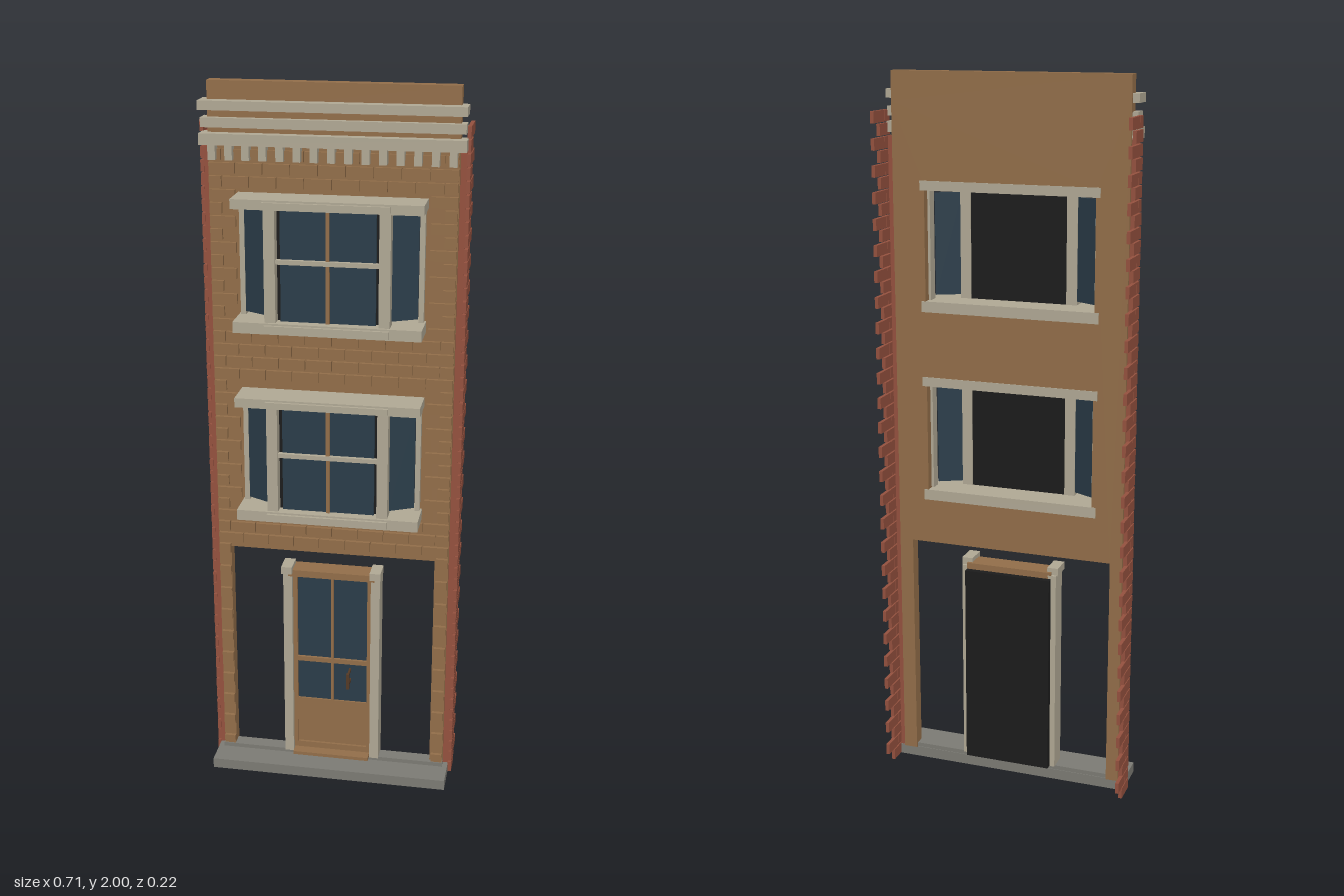
import * as THREE from 'three';
import { mergeGeometries } from 'three/addons/utils/BufferGeometryUtils.js';

const mat = (name, color) => {
  const m = new THREE.MeshStandardMaterial({ color });
  m.name = name;
  return m;
};

export function createModel() {
  const tan = mat('tan brick', 0x946f4a);
  const red = mat('red brick', 0x96523f);
  const stone = mat('pale stone', 0xb2aa96);
  const grey = mat('step grey', 0x7d7c75);
  const glass = mat('window glass', 0x2b3d4a);
  const black = mat('blackout', 0x1c1c1c);
  const dark = mat('handle bronze', 0x553a26);

  // Box geometry given by its extents
  const boxGeo = (x0, x1, y0, y1, z0, z1) =>
    new THREE.BoxGeometry(x1 - x0, y1 - y0, z1 - z0)
      .translate((x0 + x1) / 2, (y0 + y1) / 2, (z0 + z1) / 2);
  const add = (parent, name, geo, material) => {
    const m = new THREE.Mesh(geo, material);
    m.name = name;
    parent.add(m);
    return m;
  };
  const box = (parent, name, material, ...e) => add(parent, name, boxGeo(...e), material);
  const group = (parent, name) => {
    const g = new THREE.Group();
    g.name = name;
    parent.add(g);
    return g;
  };

  const model = new THREE.Group();
  model.name = 'townhouseFront';
  const W = 0.33, BACK = -0.028, FACE = 0.007;
  const windowBases = [0.817, 1.357];

  // Wall sheet with a shopfront gap and two window openings
  const outline = new THREE.Shape([
    [-W, 0.03], [-0.295, 0.03], [-0.295, 0.69], [0.291, 0.69], [0.291, 0.03],
    [W, 0.03], [W, 1.92], [-W, 1.92],
  ].map(([x, y]) => new THREE.Vector2(x, y)));
  for (const y of windowBases) {
    outline.holes.push(new THREE.Path([
      [-0.24, y + 0.01], [-0.24, y + 0.35], [0.24, y + 0.35], [0.24, y + 0.01],
    ].map(([a, b]) => new THREE.Vector2(a, b))));
  }
  add(model, 'wall', new THREE.ExtrudeGeometry(outline, { depth: FACE - BACK, bevelEnabled: false })
    .translate(0, 0, BACK), tan);
  box(model, 'parapet', tan, -W, W, 1.92, 2, BACK, FACE);

  // Raised bricks in running bond, left out around the openings
  const rowH = 1.9 / 54, pitch = 2 * W / 9, bricks = [];
  for (let r = 1; r * rowH < 1.82; r++) {
    const y0 = r * rowH + 0.003, y1 = y0 + rowH - 0.007;
    for (let i = 0; i < 10; i++) {
      const start = -W + (i - (r % 2 ? 0.5 : 0)) * pitch;
      const x0 = Math.max(-W, start) + 0.002, x1 = Math.min(W, start + pitch) - 0.002;
      if (x1 - x0 < 0.01) continue;
      const inShop = y0 < 0.69 && x1 > -0.295 && x0 < 0.291;
      const inWindow = windowBases.some(y => y1 > y && y0 < y + 0.357) && x1 > -0.252 && x0 < 0.252;
      if (!inShop && !inWindow) bricks.push(boxGeo(x0, x1, y0, y1, FACE - 0.002, 0.017));
    }
  }
  add(model, 'wallBricks', mergeGeometries(bricks), tan);

  // Toothed red brick returns at both sides
  for (const s of [-1, 1]) {
    const teeth = [];
    for (let r = 0; r < 54; r++) {
      const y0 = r * rowH + 0.002, y1 = (r + 1) * rowH - 0.002;
      const cuts = r % 2 ? [-0.11, -0.04, -0.005] : [-0.072, -0.003];
      for (let i = 0; i + 1 < cuts.length; i++) {
        teeth.push(boxGeo(s * 0.35 - 0.005, s * 0.35 + 0.005, y0, y1, cuts[i] + 0.001, cuts[i + 1] - 0.001));
      }
    }
    add(model, s > 0 ? 'leftBrickReturn' : 'rightBrickReturn', mergeGeometries(teeth), red);
    box(model, 'cornerFill', red, Math.min(s * W, s * 0.346), Math.max(s * W, s * 0.346), 0.03, 1.83, -0.02, -0.006);
  }

  // Cornice bands and dentils
  const cornice = group(model, 'cornice');
  box(cornice, 'topBand', stone, -0.348, 0.348, 1.928, 1.952, -0.022, 0.04);
  box(cornice, 'middleBand', stone, -0.345, 0.345, 1.882, 1.907, -0.02, 0.025);
  box(cornice, 'bottomBand', stone, -0.348, 0.348, 1.838, 1.868, -0.02, 0.036);
  for (let i = 0; i < 15; i++) {
    const x = -0.315 + i * 0.045;
    box(cornice, 'dentil', stone, x - 0.01, x + 0.01, 1.8, 1.84, 0, 0.034);
  }

  // Bay windows
  for (const y of windowBases) {
    const bay = group(model, 'bayWindow');
    bay.position.y = y;
    for (const [name, y0, y1] of [['sill', 0, 0.03], ['head', 0.331, 0.357]]) {
      box(bay, name, stone, -0.252, 0.252, y0, y1, -0.03, 0.104);
      box(bay, name + 'Lip', stone, -0.167, 0.167, y0 + 0.005, y1 - 0.005, 0.1, 0.112);
    }
    box(bay, 'frontGlass', glass, -0.127, 0.127, 0.03, 0.331, 0.068, 0.076);
    box(bay, 'blackoutPanel', black, -0.16, 0.16, 0.03, 0.331, 0.055, 0.066);
    box(bay, 'verticalBar', tan, -0.005, 0.005, 0.03, 0.331, 0.074, 0.084);
    box(bay, 'crossBar', stone, -0.137, 0.137, 0.186, 0.198, 0.074, 0.088);
    for (const s of [-1, 1]) {
      const post = (name, a, b, z0, z1) =>
        box(bay, name, stone, Math.min(s * a, s * b), Math.max(s * a, s * b), 0.03, 0.331, z0, z1);
      post('frontPost', 0.137, 0.167, 0.052, 0.096);
      post('wallPost', 0.233, 0.247, -0.005, 0.025);
      // Slanted side pane
      const pane = add(bay, 'sidePane', new THREE.BoxGeometry(0.074, 0.28, 0.006), glass);
      pane.position.set(s * 0.198, 0.18, 0.042);
      pane.rotation.y = s * 0.48;
    }
  }

  // Steps
  box(model, 'step', grey, -0.345, 0.345, 0, 0.03, -0.022, 0.095);
  box(model, 'upperStep', grey, -0.33, 0.33, 0.03, 0.042, -0.02, 0.02);

  // Door
  const door = group(model, 'door');
  box(door, 'blackoutPanel', black, -0.125, 0.125, 0.042, 0.622, -0.045, -0.028);
  box(door, 'glass', glass, -0.105, 0.105, 0.21, 0.622, -0.028, 0.005);
  box(door, 'lowerPanel', tan, -0.105, 0.105, 0.07, 0.215, -0.028, 0.01);
  box(door, 'bottomRail', tan, -0.112, 0.112, 0.05, 0.068, -0.028, 0.014);
  box(door, 'threshold', tan, -0.112, 0.112, 0.04, 0.05, -0.028, 0.045);
  box(door, 'middleRail', tan, -0.108, 0.108, 0.34, 0.354, 0, 0.013);
  box(door, 'verticalBar', tan, -0.004, 0.004, 0.21, 0.622, 0, 0.012);
  box(door, 'header', tan, -0.125, 0.125, 0.62, 0.64, -0.028, 0.032);
  box(door, 'handle', dark, 0.048, 0.056, 0.28, 0.328, 0.04, 0.053);
  for (const y of [0.285, 0.318]) box(door, 'handleStem', dark, 0.049, 0.055, y, y + 0.006, 0, 0.042);
  for (const s of [-1, 1]) {
    const side = (name, m, a, b, ...e) =>
      box(door, name, m, Math.min(s * a, s * b), Math.max(s * a, s * b), ...e);
    side('stile', tan, 0.102, 0.114, 0.05, 0.622, -0.028, 0.014);
    side('post', stone, 0.114, 0.14, 0.042, 0.632, -0.028, 0.028);
    side('postCap', stone, 0.112, 0.143, 0.63, 0.652, -0.02, 0.042);
  }
  return model;
}
